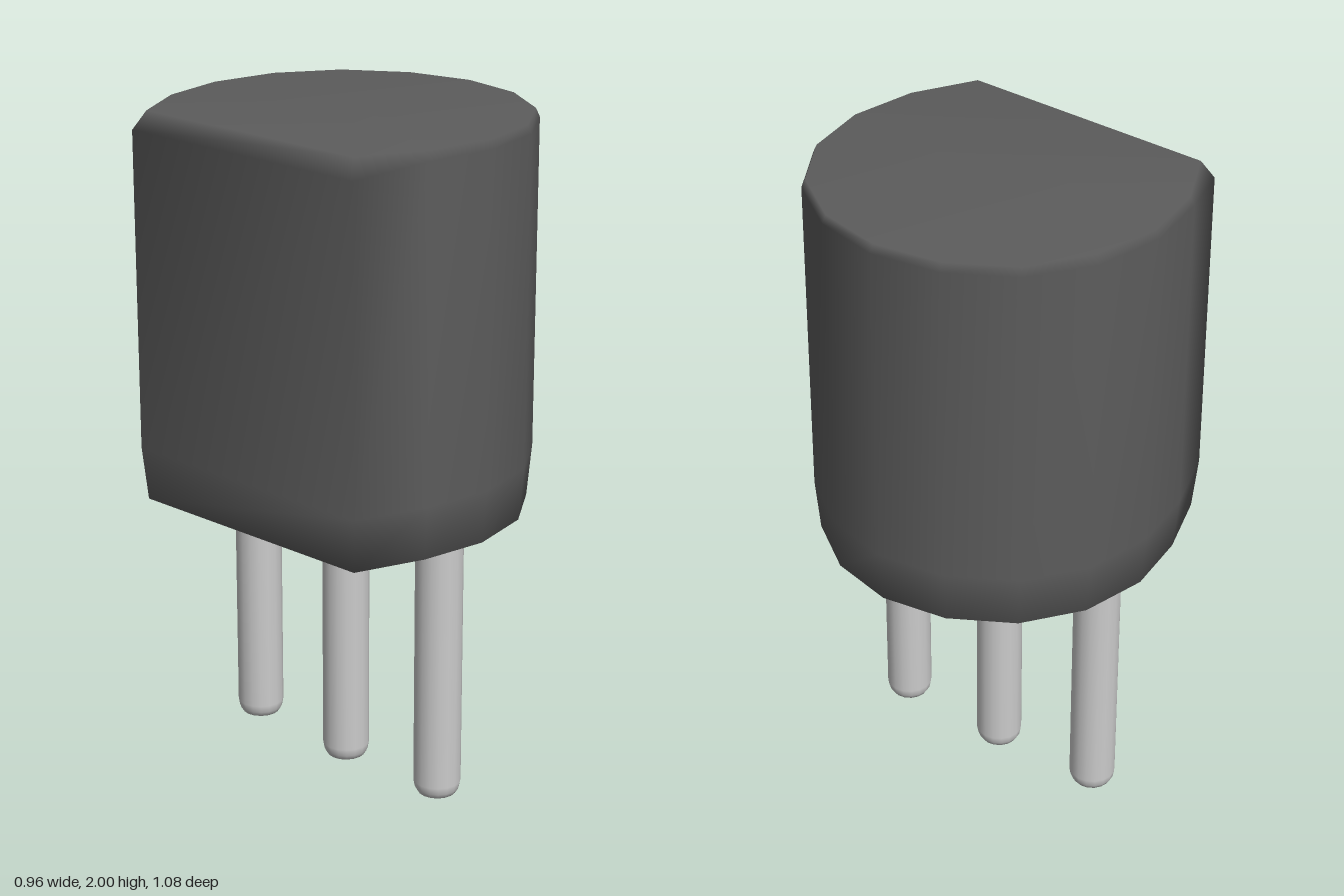
import * as THREE from 'three';

// Half outline (x, z) of the can, from the rounded tip to the corner of the flat
const half = [[0.48, 0], [0.44, 0.205], [0.325, 0.385], [0.15, 0.5], [-0.06, 0.54], [-0.27, 0.505], [-0.48, 0.425]];
const outline = [...half, ...half.slice(1).reverse().map(([x, z]) => [x, -z])];
const centreX = -0.02;

// Cross-sections: height, scale, extra scale and drop at the two flat corners
const rings = [
  [0.81, 0.82, 0.97, 0],
  [0.84, 0.972, 1, 0],
  [1.0, 1, 1, 0],
  [1.975, 1, 1, 0.03],
  [2.0, 0.978, 0.955, 0],
];

function bodyGeometry() {
  const n = outline.length, pos = [], idx = [];
  for (const [y, scale, cornerScale, drop] of rings) {
    outline.forEach(([x, z], i) => {
      const corner = i === 6 || i === 7;
      const s = corner ? scale * cornerScale : scale;
      pos.push(centreX + (x - centreX) * s, y - (corner ? drop : 0), z * s);
    });
  }
  for (let r = 0; r < rings.length - 1; r++) {
    for (let i = 0; i < n; i++) {
      const a = r * n + i, b = r * n + (i + 1) % n;
      idx.push(a, a + n, b, b, a + n, b + n);
    }
  }
  // End caps
  const bottom = pos.length / 3, top = bottom + 1, last = (rings.length - 1) * n;
  pos.push(centreX, 0.81, 0, centreX, 2, 0);
  for (let i = 0; i < n; i++) {
    const j = (i + 1) % n;
    idx.push(bottom, i, j, top, last + j, last + i);
  }
  const g = new THREE.BufferGeometry();
  g.setAttribute('position', new THREE.Float32BufferAttribute(pos, 3));
  g.setIndex(idx);
  g.computeVertexNormals();
  return g;
}

export function createModel() {
  const group = new THREE.Group();
  group.name = 'transistor';

  const body = new THREE.Mesh(bodyGeometry(), new THREE.MeshStandardMaterial({ color: 0x5c5c5c }));
  body.name = 'body';
  group.add(body);

  // Three pins with softly rounded tips; the rear one is a little shorter
  const pinMaterial = new THREE.MeshStandardMaterial({ color: 0xcccccc });
  const pins = [['frontPin', 0.36, 0], ['middlePin', -0.01, 0], ['rearPin', -0.377, 0.025]];
  for (const [name, z, base] of pins) {
    const profile = [[0, 0], [0.056, 0.002], [0.066, 0.018], [0.07, 0.04], [0.07, 0.83 - base]]
      .map(([r, y]) => new THREE.Vector2(r, y));
    const pin = new THREE.Mesh(new THREE.LatheGeometry(profile, 16), pinMaterial);
    pin.name = name;
    pin.position.set(-0.053, base, z);
    group.add(pin);
  }
  return group;
}
